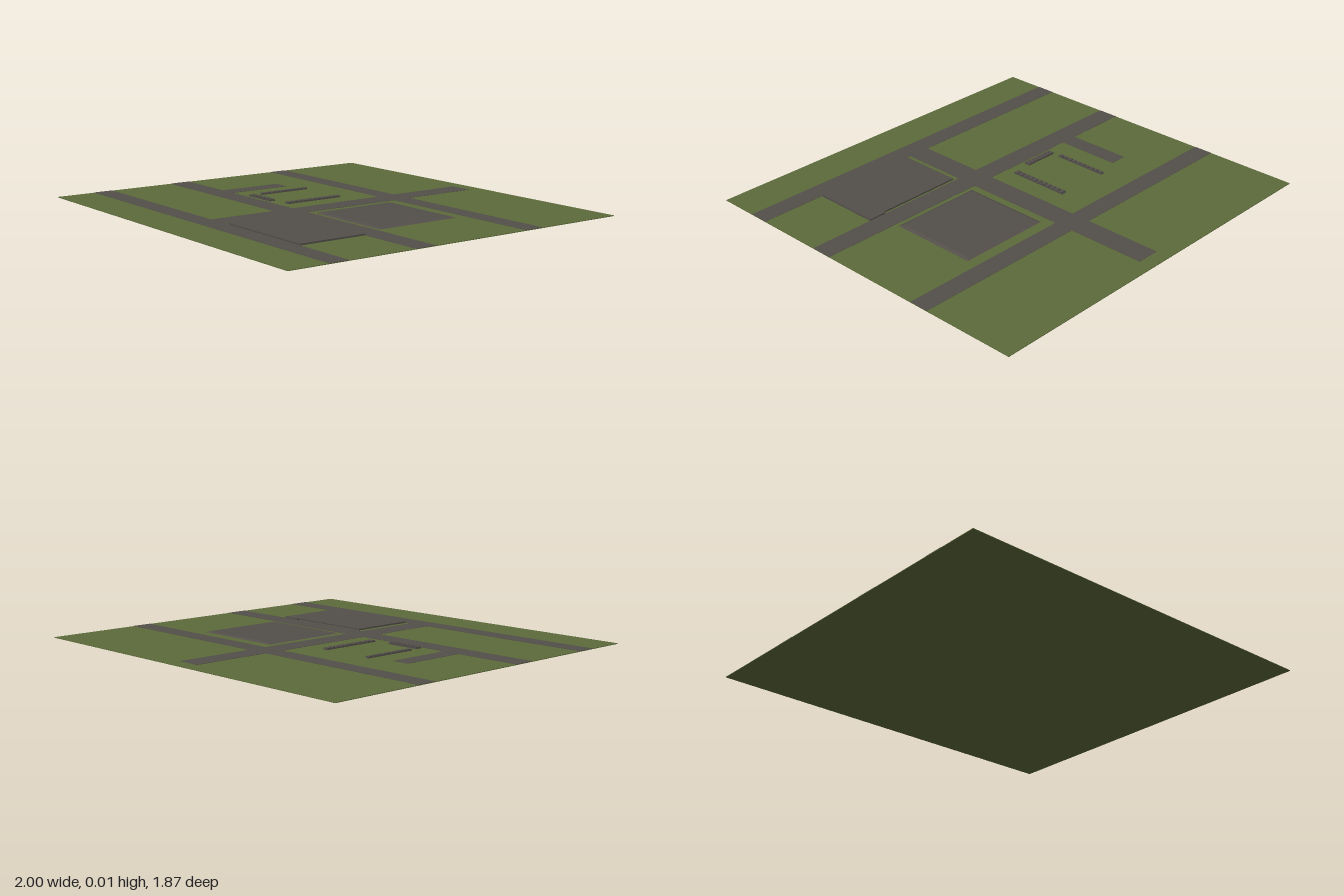
import * as THREE from 'three';

export function createModel() {
  const model = new THREE.Group();
  const grass = new THREE.MeshStandardMaterial({ color: 0x5c6a3a });
  grass.name = 'grass green';
  const asphalt = new THREE.MeshStandardMaterial({ color: 0x534e4a });
  asphalt.name = 'asphalt grey';

  const GROUND = 0.003, ROAD = 0.0042;

  // Box between two x, y and z limits
  function slab(name, x0, x1, z0, z1, y0, y1, material, parent = model) {
    const geometry = new THREE.BoxGeometry(x1 - x0, y1 - y0, z1 - z0);
    const mesh = new THREE.Mesh(geometry, material);
    mesh.position.set((x0 + x1) / 2, (y0 + y1) / 2, (z0 + z1) / 2);
    mesh.name = name;
    parent.add(mesh);
    return mesh;
  }

  slab('ground', -1, 1, -0.933, 0.933, 0, GROUND, grass);

  // Roads: three running across, one running front to back, one short spur
  const crossRoads = [[-0.46, -0.36], [0.17, 0.28], [0.63, 0.73]];
  for (const [z0, z1] of crossRoads) slab('crossRoad', -1, 1, z0, z1, GROUND, ROAD, asphalt);
  const mainStretches = [[-0.86, -0.46], [-0.36, 0.17], [0.28, 0.63]];
  for (const [z0, z1] of mainStretches) slab('mainRoad', -0.04, 0.08, z0, z1, GROUND, ROAD, asphalt);
  slab('spurRoad', -0.66, -0.57, -0.165, 0.17, GROUND, ROAD, asphalt);

  // Front lot: a raised slab with a tongue reaching the middle road
  slab('frontLot', 0.11, 0.66, 0.29, 0.63, GROUND, 0.011, asphalt);
  slab('frontLotEntrance', 0.565, 0.66, 0.28, 0.29, GROUND, 0.011, asphalt);

  // Back lot: a low slab whose sides slope inward
  const backLot = slab('backLot', 0.12, 0.60, -0.303, 0.15, GROUND, 0.009, asphalt);
  const p = backLot.geometry.attributes.position;
  for (let i = 0; i < p.count; i++) {
    if (p.getY(i) > 0) {
      p.setX(i, p.getX(i) - Math.sign(p.getX(i)) * 0.016);
      p.setZ(i, p.getZ(i) - Math.sign(p.getZ(i)) * 0.016);
    }
  }
  backLot.geometry.computeVertexNormals();

  // Low walls around the yard: a solid base topped with a row of small blocks
  function lowWall(name, x0, x1, z0, z1, count) {
    const wall = new THREE.Group();
    wall.name = name;
    model.add(wall);
    slab('wallBase', x0, x1, z0, z1, GROUND, 0.007, asphalt, wall);
    const alongX = x1 - x0 > z1 - z0;
    const start = alongX ? x0 : z0;
    const step = (alongX ? x1 - x0 : z1 - z0) / count;
    for (let i = 0; i < count; i++) {
      const a = start + i * step + step * 0.15, b = a + step * 0.7;
      if (alongX) slab('wallBlock', a, b, z0, z1, 0.007, 0.012, asphalt, wall);
      else slab('wallBlock', x0, x1, a, b, 0.007, 0.012, asphalt, wall);
    }
  }
  lowWall('rightWall', -0.453, -0.433, -0.205, 0.08, 10);
  lowWall('leftWall', -0.175, -0.147, -0.2, 0.12, 11);
  lowWall('frontWall', -0.443, -0.26, 0.12, 0.152, 8);

  return model;
}
